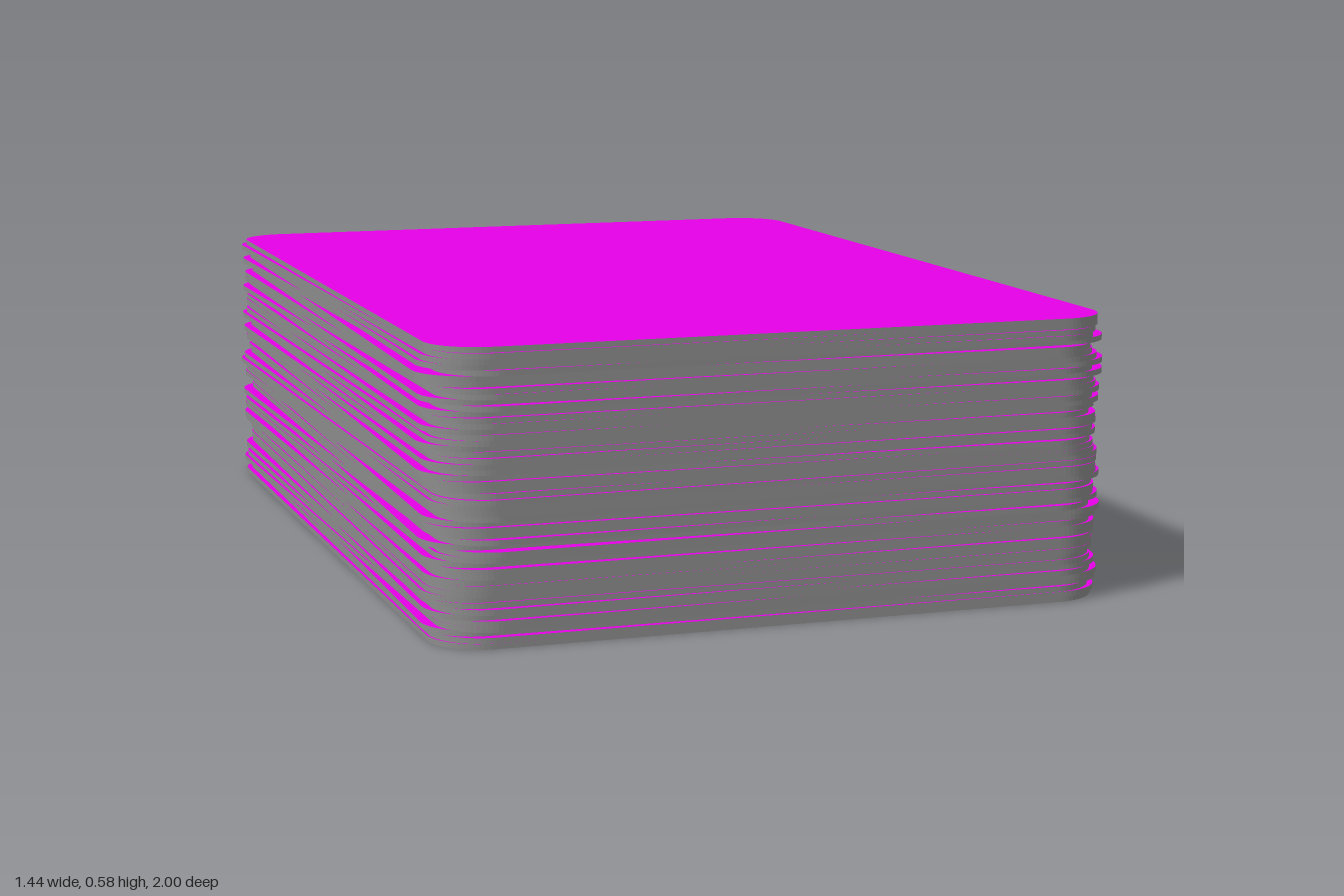
import * as THREE from 'three';

const HALF_W = 0.7, HALF_L = 0.983, RADIUS = 0.108;
const COUNT = 52, HEIGHT = 0.578, THICK = HEIGHT / COUNT;
const MAX_TURN = 0.018, MAX_SHIFT = 0.006;

// Rounded rectangle outline of one card
function cardShape() {
  const s = new THREE.Shape();
  const x = HALF_W - RADIUS, y = HALF_L - RADIUS;
  s.absarc(x, y, RADIUS, 0, Math.PI / 2);
  s.absarc(-x, y, RADIUS, Math.PI / 2, Math.PI);
  s.absarc(-x, -y, RADIUS, Math.PI, Math.PI * 1.5);
  s.absarc(x, -y, RADIUS, Math.PI * 1.5, Math.PI * 2);
  s.closePath();
  return s;
}

// Seeded random numbers in -1..1
function seeded(seed) {
  return () => {
    seed = (seed * 16807) % 2147483647;
    return (seed / 2147483647) * 2 - 1;
  };
}

export function createModel() {
  const model = new THREE.Group();
  model.name = 'cardDeck';

  // One thin card lying flat; its caps are split into underside and top
  const geometry = new THREE.ExtrudeGeometry(cardShape(), {
    depth: THICK, bevelEnabled: false, curveSegments: 8,
  });
  geometry.rotateX(-Math.PI / 2);
  const [caps, rim] = geometry.groups.map((g) => ({ ...g }));
  geometry.clearGroups();
  geometry.addGroup(0, caps.count / 2, 0);
  geometry.addGroup(caps.count / 2, caps.count / 2, 1);
  geometry.addGroup(rim.start, rim.count, 2);

  const materials = [
    new THREE.MeshStandardMaterial({ color: 0x0000e7 }), // underside
    new THREE.MeshStandardMaterial({ color: 0xe700e7 }), // top face
    new THREE.MeshStandardMaterial({ color: 0x8c8c8c }), // rim
  ];

  // Stack of cards, each turned and slid slightly; the top one lies straight
  const random = seeded(4711);
  for (let i = 0; i < COUNT; i++) {
    const loose = i === COUNT - 1 ? 0 : 1;
    const card = new THREE.Mesh(geometry, materials);
    card.name = `card${i + 1}`;
    card.position.set(random() * MAX_SHIFT * loose, i * THICK, random() * MAX_SHIFT * loose);
    card.rotation.y = random() * MAX_TURN * loose;
    model.add(card);
  }
  return model;
}
